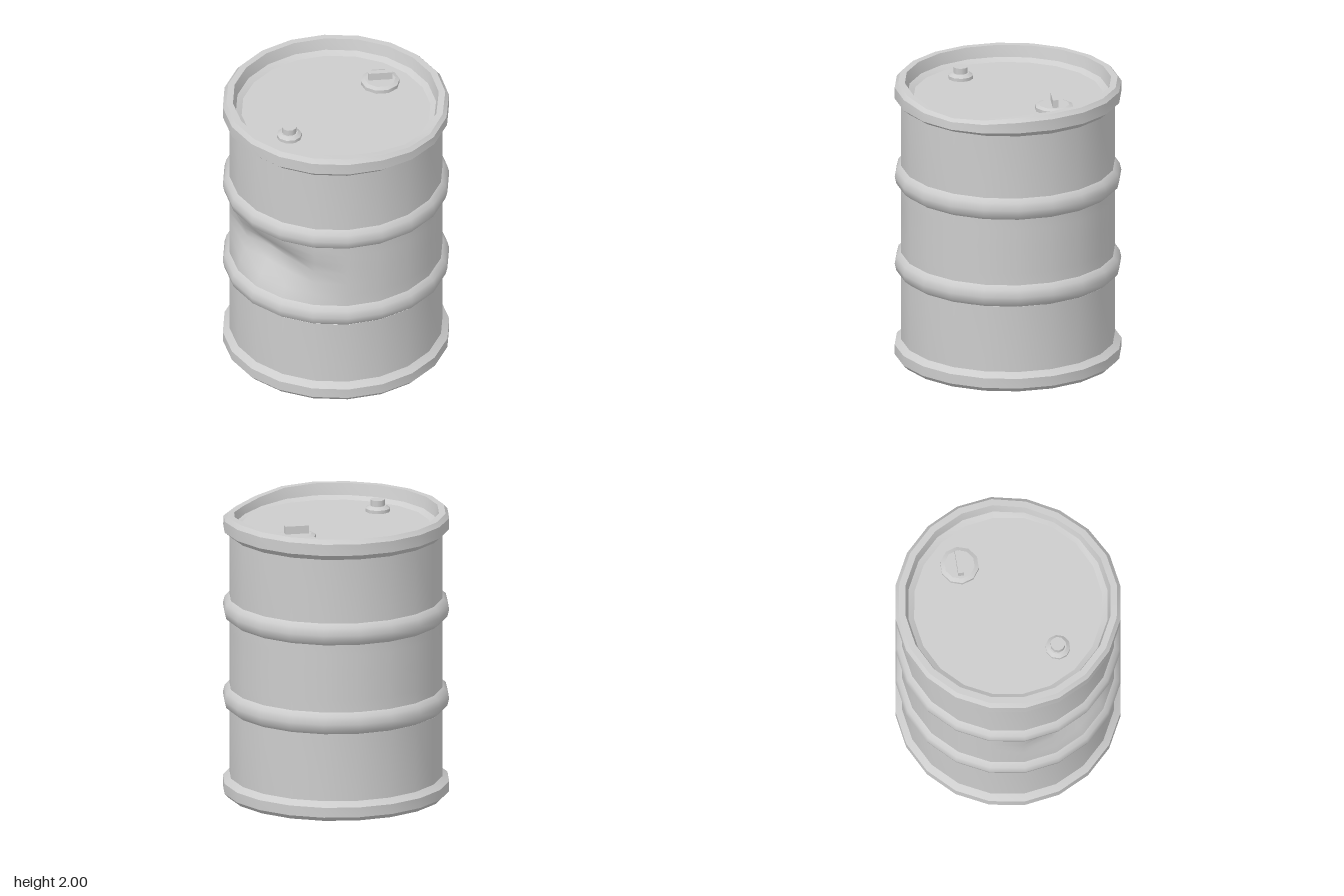
import * as THREE from 'three';
import { mergeVertices } from 'three/addons/utils/BufferGeometryUtils.js';

const SIDES = 20;
const WALL = 0.735;

export function createModel() {
  const drum = new THREE.Group();
  drum.name = 'drum';
  const steel = new THREE.MeshStandardMaterial({ color: 0xcccccc, side: THREE.DoubleSide });
  steel.name = 'grey steel';

  // A smooth revolved band, optionally dented by a rule that moves its vertices
  function band(name, profile, dent, parent = drum) {
    let geo = new THREE.LatheGeometry(profile.map(([r, y]) => new THREE.Vector2(r, y)), SIDES);
    const pos = geo.attributes.position;
    const v = new THREE.Vector3();
    if (dent) {
      for (let i = 0; i < pos.count; i++) {
        v.fromBufferAttribute(pos, i);
        dent(v);
        pos.setXYZ(i, v.x, v.y, v.z);
      }
    }
    geo.deleteAttribute('uv');
    geo.deleteAttribute('normal');
    geo = mergeVertices(geo, 1e-4);
    geo.computeVertexNormals();
    const mesh = new THREE.Mesh(geo, steel);
    mesh.name = name;
    parent.add(mesh);
  }

  // One band per profile step, which keeps the edges between them sharp
  function rim(name, profile, dent) {
    const group = new THREE.Group();
    group.name = name;
    for (let i = 0; i < profile.length - 1; i++) {
      band(name + 'Band', [profile[i], profile[i + 1]], dent, group);
    }
    drum.add(group);
  }

  // Smooth bump: 1 at the centre, 0 beyond the half width
  const bump = (d, half) => (Math.abs(d) < half ? Math.cos((d / half) * Math.PI / 2) ** 2 : 0);
  const degrees = (v) => THREE.MathUtils.radToDeg(Math.atan2(v.x, v.z));

  // Push-in on the front right of the middle wall
  function wallDent(v) {
    const up = v.y > 1.03 ? bump(v.y - 1.03, 0.215) : bump(v.y - 1.03, 0.265);
    const k = 1 - (0.15 * up * bump(degrees(v) + 50, 42)) / WALL;
    v.x *= k;
    v.z *= k;
  }

  // Knock on the front left of the top rim
  function rimDent(v) {
    if (Math.hypot(v.x, v.z) < 0.68) return;
    const w = bump(degrees(v) - 54, 50) * THREE.MathUtils.clamp((v.y - 1.85) / 0.15, 0, 1);
    v.y -= 0.05 * w;
    v.x *= 1 - 0.015 * w;
    v.z *= 1 - 0.015 * w;
  }

  // Walls
  band('lowerWall', [[WALL, 0.13], [WALL, 0.61]]);
  const rows = [0.765, 0.85, 0.94, 1.03, 1.1, 1.17, 1.245];
  band('middleWall', rows.map((y) => [WALL, y]), wallDent);
  band('upperWall', [[WALL, 1.395], [WALL, 1.85]]);

  // Rolled ribs
  for (const [name, y] of [['lowerRib', 0.688], ['upperRib', 1.32]]) {
    band(name, [[WALL, y - 0.077], [0.768, y - 0.05], [0.78, y], [0.768, y + 0.05], [WALL, y + 0.077]]);
  }

  // Bottom rim, open underneath
  rim('bottomRim', [[WALL, 0.11], [0.705, 0.07], [0.71, 0], [0.752, 0], [0.78, 0.03], [0.78, 0.1], [WALL, 0.135]]);

  // Top rim and recessed lid
  rim('topRim', [[WALL, 1.85], [0.78, 1.89], [0.78, 1.97], [0.755, 2], [0.71, 2], [0.69, 1.92]], rimDent);
  band('lidEdge', [[0.69, 1.92], [0.65, 1.897]], rimDent);
  band('lid', [[0.65, 1.897], [0, 1.897]]);

  // Low faceted discs for the plugs
  function disc(name, rTop, rBottom, height, x, y, z) {
    const geo = new THREE.CylinderGeometry(rTop, rBottom, height, 10);
    geo.rotateY(Math.PI / 2);
    const mesh = new THREE.Mesh(geo, steel);
    mesh.name = name;
    mesh.position.set(x, y + height / 2, z);
    drum.add(mesh);
  }

  // Large plug with a grip bar
  disc('largePlugBase', 0.134, 0.134, 0.028, 0.335, 1.895, -0.285);
  disc('largePlugTop', 0.105, 0.134, 0.012, 0.335, 1.923, -0.285);
  const grip = new THREE.Mesh(new THREE.BoxGeometry(0.166, 0.06, 0.038), steel);
  grip.name = 'largePlugGrip';
  grip.position.set(0.335, 1.96, -0.287);
  drum.add(grip);

  // Small plug with a round knob
  disc('smallPlugBase', 0.086, 0.086, 0.025, -0.353, 1.895, 0.292);
  disc('smallPlugTop', 0.06, 0.086, 0.018, -0.353, 1.92, 0.292);
  disc('smallPlugKnob', 0.05, 0.05, 0.045, -0.353, 1.935, 0.292);

  return drum;
}
